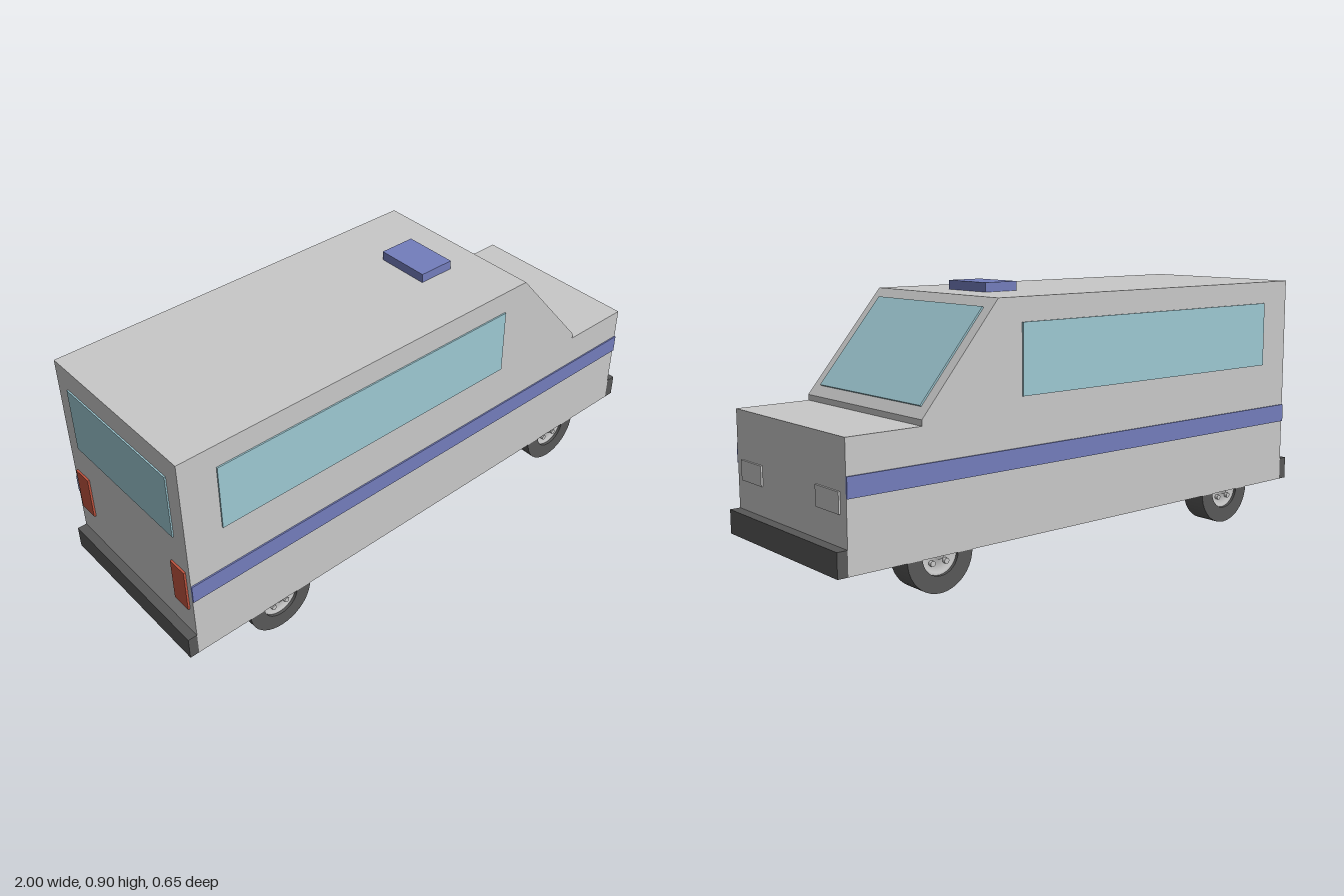
import * as THREE from 'three';

const mat = (name, color) => {
  const m = new THREE.MeshStandardMaterial({ color });
  m.name = name;
  return m;
};

export function createModel() {
  const grey = mat('body grey', 0xc8c8c8);
  const dark = mat('rubber dark grey', 0x585858);
  const glass = mat('glass teal', 0x9dc8d2);
  const blue = mat('stripe blue', 0x737dbc);
  const red = mat('tail light red', 0xc0543f);

  const van = new THREE.Group();
  van.name = 'van';
  const W = 0.322; // half width of the body

  const add = (name, geometry, material, parent = van) => {
    const mesh = new THREE.Mesh(geometry, material);
    mesh.name = name;
    parent.add(mesh);
    return mesh;
  };
  // Box given by its lower and upper corner
  const box = (name, material, [x0, y0, z0], [x1, y1, z1]) => {
    const mesh = add(name, new THREE.BoxGeometry(x1 - x0, y1 - y0, z1 - z0), material);
    mesh.position.set((x0 + x1) / 2, (y0 + y1) / 2, (z0 + z1) / 2);
    return mesh;
  };

  // Body: side profile extruded across the width
  const profile = new THREE.Shape([
    [-0.968, 0.115], [0.965, 0.115], [0.965, 0.516], [0.705, 0.516],
    [0.705, 0.535], [0.418, 0.874], [-0.968, 0.874],
  ].map(([x, y]) => new THREE.Vector2(x, y)));
  const bodyGeo = new THREE.ExtrudeGeometry(profile, { depth: 2 * W, bevelEnabled: false });
  bodyGeo.translate(0, 0, -W);
  add('body', bodyGeo, grey);

  // Bumpers and roof beacon
  box('frontBumper', dark, [0.965, 0.115, -W], [1, 0.194, W]);
  box('rearBumper', dark, [-1, 0.115, -W], [-0.968, 0.194, W]);
  box('roofBeacon', blue, [0.16, 0.874, -0.097], [0.29, 0.905, 0.097]);

  // Windscreen lies on the sloped front; rear window on the back
  const windscreen = add('windscreen', new THREE.BoxGeometry(0.364, 0.009, 0.564), glass);
  windscreen.position.set(0.562, 0.706, 0);
  windscreen.rotation.z = Math.atan2(-0.339, 0.287);
  box('rearWindow', glass, [-0.973, 0.566, -0.262], [-0.967, 0.796, 0.262]);

  // Tyre and hub profiles, turned about the wheel axis
  const tyreGeo = new THREE.LatheGeometry([
    [0, 0], [0.12, 0], [0.12, 0], [0.12, 0.09], [0.12, 0.09], [0.066, 0.09], [0.066, 0.09], [0.066, 0.07],
  ].map(([r, y]) => new THREE.Vector2(r, y)), 40);
  const hubGeo = new THREE.LatheGeometry([
    [0.066, 0.08], [0.058, 0.08], [0.05, 0.075], [0.02, 0.075], [0.016, 0.087], [0, 0.087],
  ].map(([r, y]) => new THREE.Vector2(r, y)), 32);
  const lugGeo = new THREE.CylinderGeometry(0.009, 0.009, 0.014, 12);

  for (const s of [1, -1]) {
    const side = s > 0 ? 'left' : 'right';
    const pair = (name, material, x0, x1, y0, y1, za, zb) =>
      box(side + name, material, [x0, y0, Math.min(s * za, s * zb)], [x1, y1, Math.max(s * za, s * zb)]);

    // Side glass, stripe and lights
    pair('SideWindow', glass, -0.84, 0.325, 0.566, 0.796, W - 0.002, W + 0.005);
    pair('Stripe', blue, -0.968, 0.965, 0.341, 0.405, W - 0.002, W + 0.005);
    pair('Headlight', grey, 0.964, 0.971, 0.291, 0.357, 0.162, 0.29);
    pair('TailLight', red, -0.975, -0.967, 0.295, 0.45, 0.232, 0.302);

    // Wheels
    for (const [end, x] of [['front', 0.643], ['rear', -0.647]]) {
      const wheel = new THREE.Group();
      wheel.name = `${end}${side}Wheel`;
      wheel.position.set(x, 0.12, s * 0.23);
      wheel.rotation.x = s * Math.PI / 2;
      add('tyre', tyreGeo, [dark][0], wheel).material.side = THREE.DoubleSide;
      add('hub', hubGeo, grey, wheel).material.side = THREE.DoubleSide;
      for (let i = 0; i < 4; i++) {
        const a = Math.PI / 4 + i * Math.PI / 2;
        add('lug', lugGeo, grey, wheel).position.set(0.036 * Math.cos(a), 0.08, 0.036 * Math.sin(a));
      }
      van.add(wheel);
    }
  }
  return van;
}
